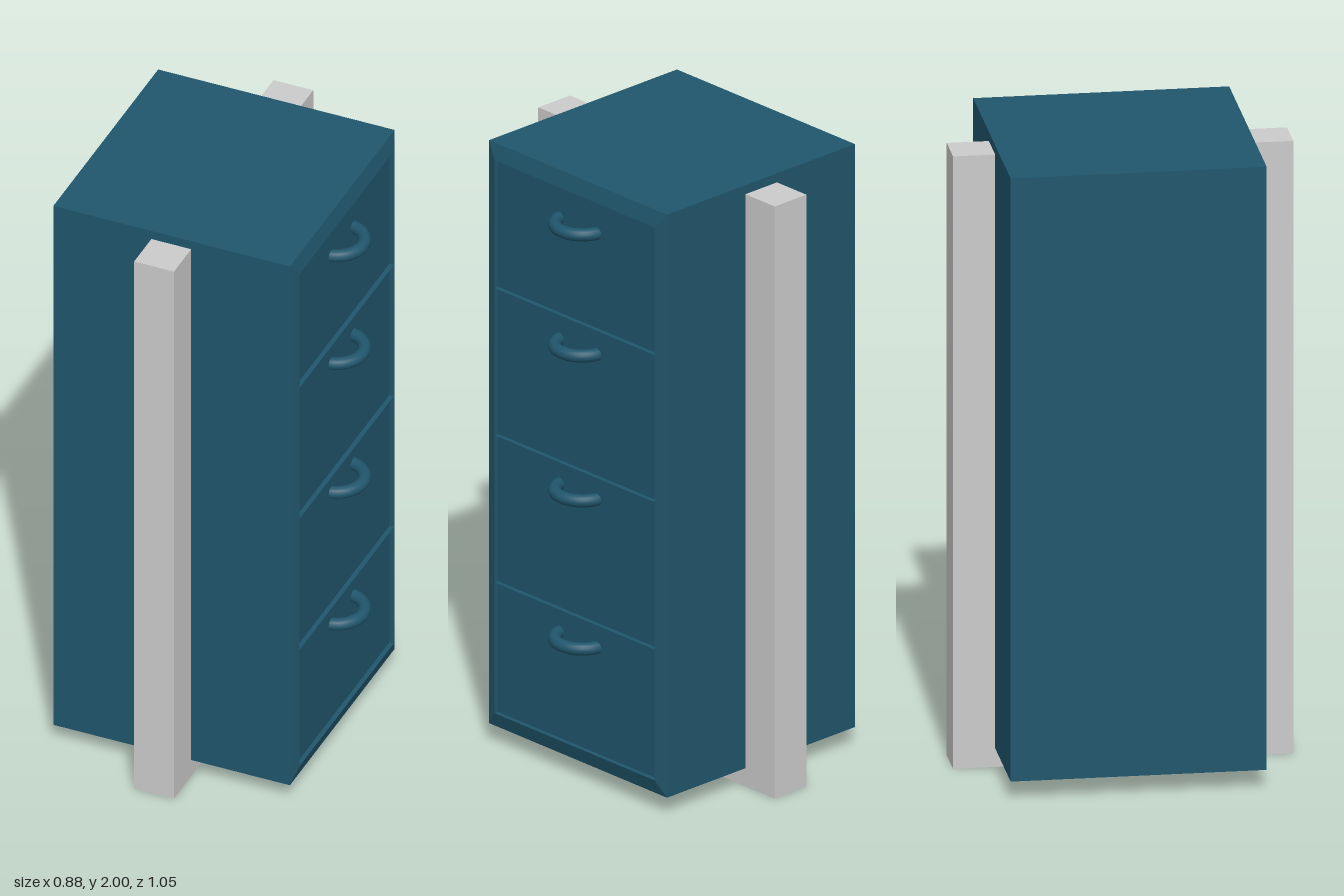
import * as THREE from 'three';

const blue = new THREE.MeshStandardMaterial({ color: 0x20566c });
const blueThin = new THREE.MeshStandardMaterial({ color: 0x20566c, side: THREE.DoubleSide });
const grey = new THREE.MeshStandardMaterial({ color: 0xcccccc });

const BACK = -0.44, FACE = 0.35, LIP = 0.365; // x of the back, drawer fronts and raised lip
const BOTTOM = 0.06, TOP = 2, HALF = 0.395;   // cabinet extents
const LOW = 0.11, HIGH = 1.95, INNER = 0.355; // opening inside the lip

function addMesh(parent, name, geometry, material) {
  const mesh = new THREE.Mesh(geometry, material);
  mesh.name = name;
  parent.add(mesh);
  return mesh;
}

// Corners of a rectangle in the plane at x, counter-clockwise seen from +x
const loop = (x, low, high, half) => [
  [x, low, half], [x, low, -half], [x, high, -half], [x, high, half],
];

// Flat-shaded bands joining successive four-cornered loops
function loftLoops(loops) {
  const points = [];
  for (let i = 0; i < loops.length - 1; i++) {
    for (let j = 0; j < 4; j++) {
      const k = (j + 1) % 4;
      const a = loops[i][j], b = loops[i][k], c = loops[i + 1][k], d = loops[i + 1][j];
      points.push(...a, ...b, ...c, ...a, ...c, ...d);
    }
  }
  const geometry = new THREE.BufferGeometry();
  geometry.setAttribute('position', new THREE.Float32BufferAttribute(points, 3));
  geometry.computeVertexNormals();
  return geometry;
}

export function createModel() {
  const model = new THREE.Group();
  model.name = 'drawerCabinet';

  // Cabinet body, its +x side being the drawer fronts
  const body = addMesh(model, 'cabinetBody',
    new THREE.BoxGeometry(FACE - BACK, TOP - BOTTOM, HALF * 2), blue);
  body.position.set((FACE + BACK) / 2, (TOP + BOTTOM) / 2, 0);

  // Bevelled rim that rises to a lip and drops back to the drawer fronts
  addMesh(model, 'frontRim', loftLoops([
    loop(FACE, BOTTOM, TOP, HALF),
    loop(LIP, LOW, HIGH, INNER),
    loop(FACE, LOW, HIGH, INNER),
  ]), blueThin);

  // Thin ledges between the drawers
  for (const y of [1.525, 1.035, 0.545]) {
    const ledge = addMesh(model, 'drawerDivider',
      new THREE.PlaneGeometry(LIP - FACE, INNER * 2).rotateX(-Math.PI / 2), blueThin);
    ledge.position.set((FACE + LIP) / 2, y, 0);
  }

  // Half-ring handles
  const handleShape = new THREE.TorusGeometry(0.085, 0.02, 16, 32, Math.PI)
    .rotateZ(-Math.PI / 2).rotateX(Math.PI / 2);
  for (const y of [1.84, 1.437, 0.955, 0.462]) {
    addMesh(model, 'drawerHandle', handleShape, blue).position.set(0.332, y, 0);
  }

  // U-shaped support: two posts joined by a bar under the cabinet
  const frame = new THREE.Group();
  frame.name = 'supportFrame';
  frame.position.x = -0.046;
  model.add(frame);
  for (const side of [1, -1]) {
    addMesh(frame, 'supportPost', new THREE.BoxGeometry(0.133, 1.97, 0.13), grey)
      .position.set(0, 0.985, side * 0.46);
  }
  addMesh(frame, 'supportBar', new THREE.BoxGeometry(0.133, BOTTOM, 0.79), grey)
    .position.y = BOTTOM / 2;

  return model;
}
